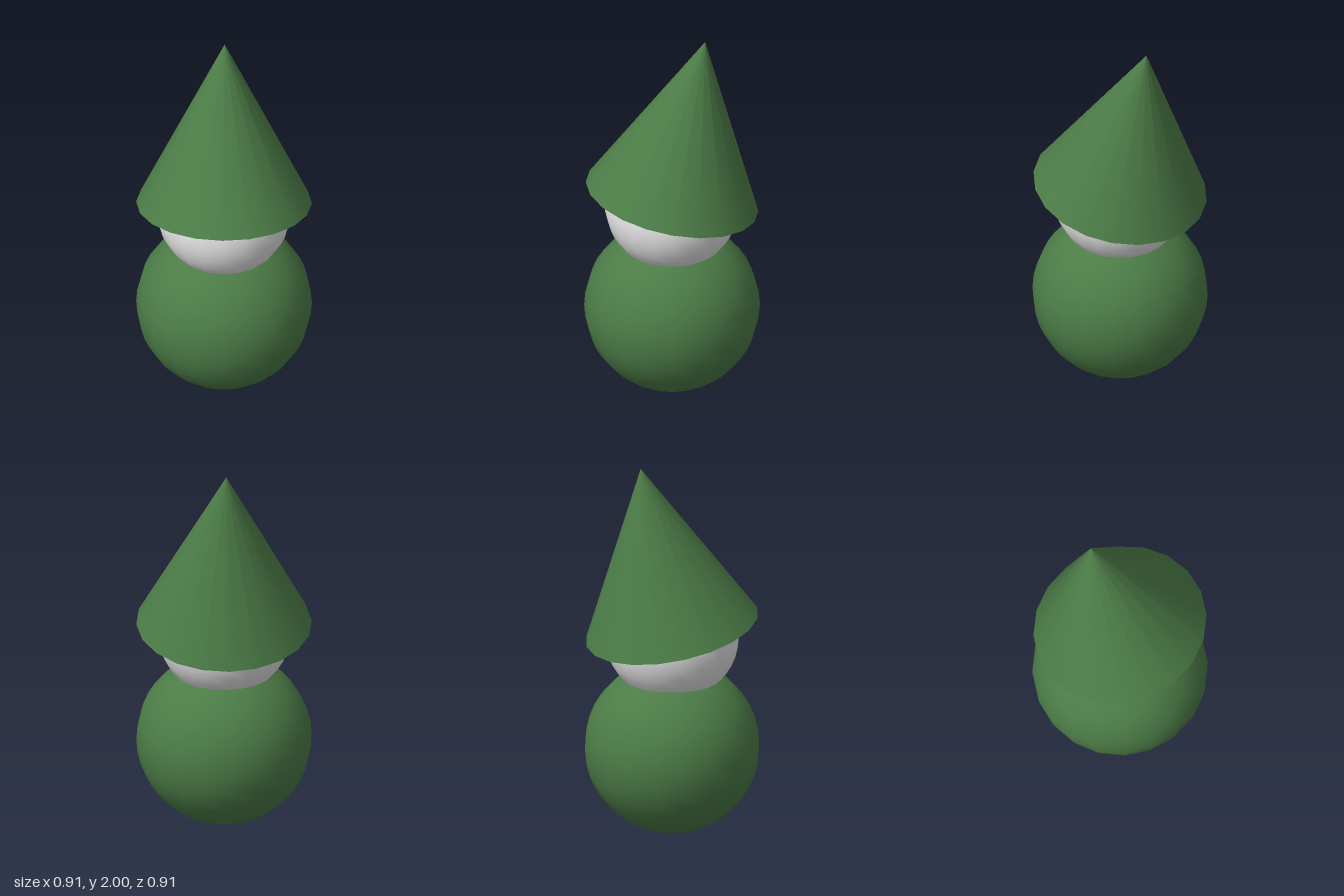
import * as THREE from 'three';

export function createModel() {
  const green = new THREE.MeshStandardMaterial({ color: 0x4c7c47 });
  green.name = 'leaf green';
  const white = new THREE.MeshStandardMaterial({ color: 0xe6e6e6 });
  white.name = 'off white';

  const model = new THREE.Group();
  model.name = 'hattedFigure';
  const add = (name, geometry, material, y, z = 0, tilt = 0) => {
    const mesh = new THREE.Mesh(geometry, material);
    mesh.name = name;
    mesh.position.set(0, y, z);
    mesh.rotation.x = tilt;
    model.add(mesh);
  };

  const radius = 0.456; // shared by the body and the hat brim
  const hatHeight = 2 * radius;
  const tilt = 0.2; // hat leans backwards
  const brimY = 2 - hatHeight * Math.cos(tilt);

  // Round body and head
  add('body', new THREE.SphereGeometry(radius, 20, 20), green, radius + 0.002);
  add('head', new THREE.SphereGeometry(0.351, 20, 20), white, 1.07);

  // Pointed hat with a closed underside, pivoting about the brim centre
  const hat = new THREE.ConeGeometry(radius, hatHeight, 20);
  hat.translate(0, hatHeight / 2, 0);
  add('hat', hat, green, brimY, 0, -tilt);

  return model;
}
